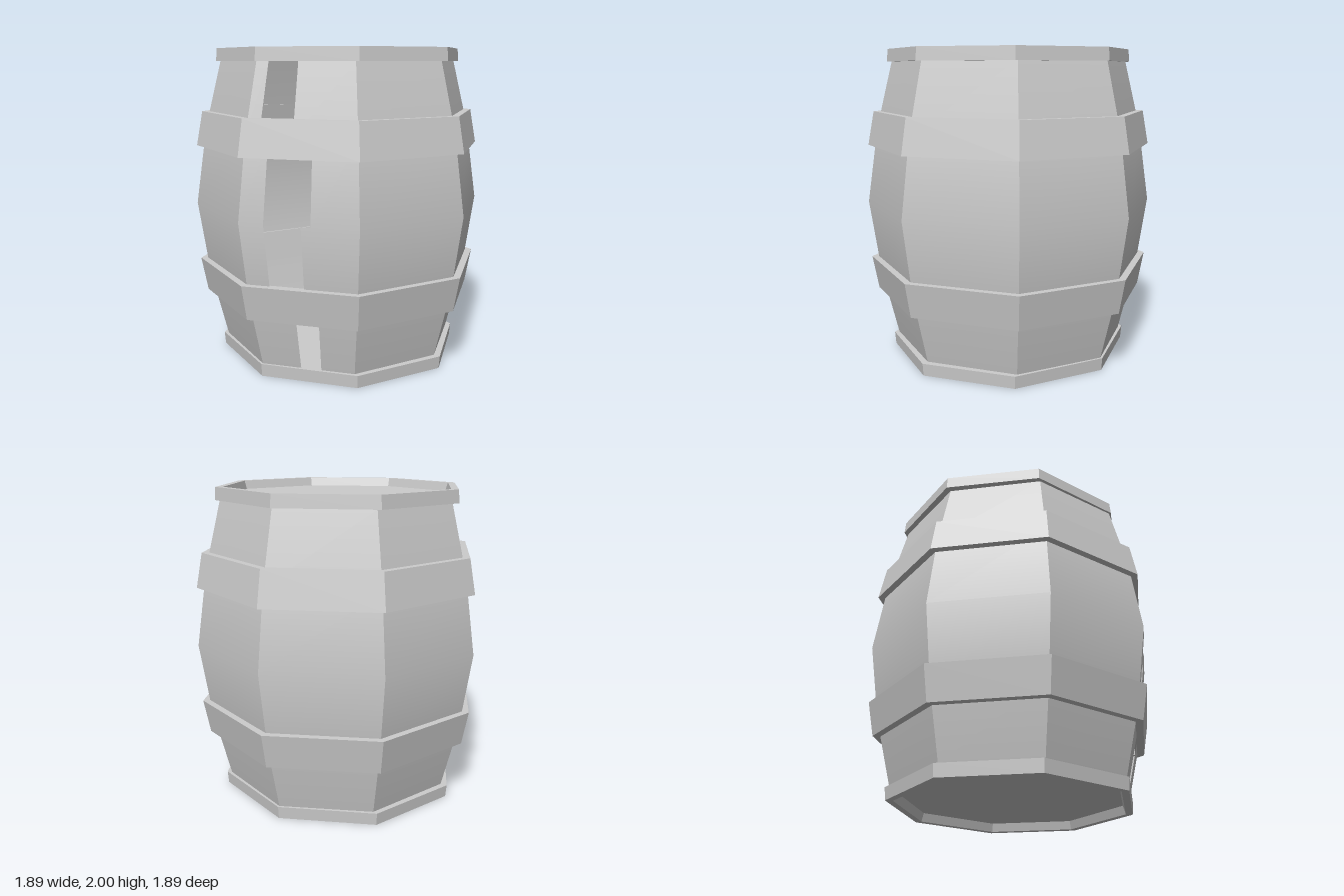
import * as THREE from 'three';

const SIDES = 8;
const flat = new THREE.MeshStandardMaterial({ color: 0xcccccc, flatShading: true });
const smooth = new THREE.MeshStandardMaterial({ color: 0xcccccc, side: THREE.DoubleSide });

// Stave profile: [corner radius, height]
const PROFILE = [[0.767, 0.08], [0.873, 0.51], [0.945, 1], [0.873, 1.49], [0.767, 1.92]];
// Missing board in each row of the damaged side, as fractions of the side's width
const GAPS = [[0.427, 0.645], [0.212, 0.525], [0.212, 0.605], [0.127, 0.43]];

// Profile normals in the plane of one side, averaged between rows
function rowNormals() {
  const apothem = Math.cos(Math.PI / SIDES);
  const rows = PROFILE.slice(1).map(([r, y], i) =>
    new THREE.Vector2(y - PROFILE[i][1], (PROFILE[i][0] - r) * apothem).normalize());
  return PROFILE.map((_, i) =>
    (rows[i - 1] ?? rows[i]).clone().add(rows[i] ?? rows[i - 1]).normalize());
}

// One side of the barrel: smooth up its height, creased at the corners
function sideGeometry(index, gaps) {
  const a0 = (index / SIDES) * Math.PI * 2;
  const a1 = ((index + 1) / SIDES) * Math.PI * 2;
  const mid = (a0 + a1) / 2;
  const normals = rowNormals();
  const position = [], normal = [], faces = [];

  const addVertex = (row, t) => {
    const [r, y] = PROFILE[row];
    position.push(
      r * THREE.MathUtils.lerp(Math.sin(a0), Math.sin(a1), t), y,
      r * THREE.MathUtils.lerp(Math.cos(a0), Math.cos(a1), t));
    const n = normals[row];
    normal.push(n.x * Math.sin(mid), n.y, n.x * Math.cos(mid));
  };

  for (let row = 0; row < PROFILE.length - 1; row++) {
    const spans = gaps ? [[0, gaps[row][0]], [gaps[row][1], 1]] : [[0, 1]];
    for (const [t0, t1] of spans) {
      const k = position.length / 3;
      addVertex(row, t0);
      addVertex(row, t1);
      addVertex(row + 1, t1);
      addVertex(row + 1, t0);
      faces.push(k, k + 1, k + 2, k, k + 2, k + 3);
    }
  }
  const g = new THREE.BufferGeometry();
  g.setAttribute('position', new THREE.Float32BufferAttribute(position, 3));
  g.setAttribute('normal', new THREE.Float32BufferAttribute(normal, 3));
  g.setIndex(faces);
  return g;
}

// Closed octagonal ring from a cross-section, optionally flipped to the lower half
function ring(name, section, lower) {
  let pts = section.map(([r, y]) => new THREE.Vector2(r, lower ? 2 - y : y));
  if (lower) pts.reverse();
  pts.push(pts[0].clone());
  const mesh = new THREE.Mesh(new THREE.LatheGeometry(pts, SIDES), flat);
  mesh.name = name;
  return mesh;
}

export function createModel() {
  const barrel = new THREE.Group();
  barrel.name = 'barrel';

  // Staves, with broken boards on the front left side
  const staves = new THREE.Group();
  staves.name = 'staves';
  for (let i = 0; i < SIDES; i++) {
    const side = new THREE.Mesh(sideGeometry(i, i === 0 ? GAPS : null), smooth);
    side.name = i === 0 ? 'brokenSide' : 'side';
    staves.add(side);
  }
  barrel.add(staves);

  for (const lower of [false, true]) {
    const prefix = lower ? 'lower' : 'upper';

    // Wide hoop
    barrel.add(ring(prefix + 'Hoop',
      [[0.935, 1.38], [0.894, 1.6], [0.83, 1.6], [0.873, 1.38]], lower));

    // End rim and recessed lid, slightly narrower front to back
    const end = new THREE.Group();
    end.name = prefix + 'End';
    end.scale.z = 0.965;
    end.add(ring(prefix + 'Rim',
      [[0.81, 1.92], [0.803, 2], [0.755, 2], [0.73, 1.92]], lower));
    const lid = new THREE.Mesh(new THREE.CylinderGeometry(0.738, 0.738, 0.02, SIDES), flat);
    lid.name = prefix + 'Lid';
    lid.position.y = lower ? 0.065 : 1.935;
    end.add(lid);
    barrel.add(end);
  }
  return barrel;
}
